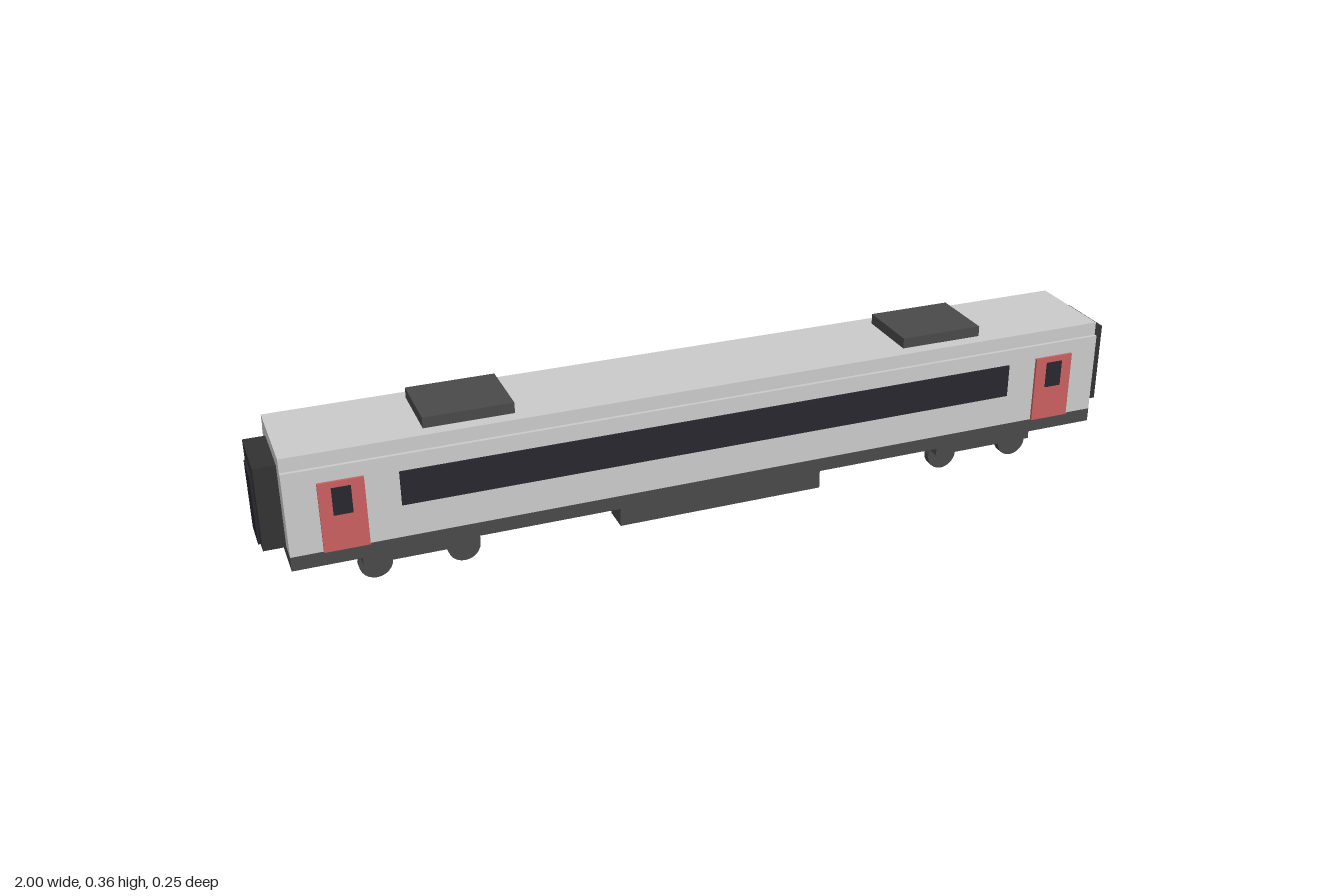
import * as THREE from 'three';

const mat = (color) => new THREE.MeshStandardMaterial({ color });

export function createModel() {
  const car = new THREE.Group();
  car.name = 'railwayCarriage';
  const shell = mat(0xcccccc), dark = mat(0x4a4a4a), rubber = mat(0x333333);
  const glass = mat(0x27272e), red = mat(0xca6060);

  const add = (name, geometry, material, x, y, z) => {
    const mesh = new THREE.Mesh(geometry, material);
    mesh.name = name;
    mesh.position.set(x, y, z);
    car.add(mesh);
    return mesh;
  };
  // Box given by its lower and upper limits on each axis
  const box = (name, material, [x0, x1], [y0, y1], [z0, z1]) =>
    add(name, new THREE.BoxGeometry(x1 - x0, y1 - y0, z1 - z0), material,
      (x0 + x1) / 2, (y0 + y1) / 2, (z0 + z1) / 2);
  // Limits from a to b, mirrored when s is -1
  const span = (s, a, b) => (s > 0 ? [a, b] : [-b, -a]);

  // Body shell
  box('body', shell, [-0.948, 0.948], [0.113, 0.302], [-0.118, 0.118]);
  box('roof', shell, [-0.948, 0.948], [0.302, 0.333], [-0.11, 0.11]);
  box('skirt', dark, [-0.948, 0.948], [0.081, 0.113], [-0.118, 0.118]);

  // Tank along the middle of the underfloor
  const tank = add('underfloorTank', new THREE.CylinderGeometry(0.0225, 0.0225, 0.79, 24), dark, 0, 0.057, 0);
  tank.rotation.z = Math.PI / 2;

  for (const side of [1, -1]) {
    // Long window band and equipment box on each side
    box('windowBand', glass, [-0.713, 0.713], [0.188, 0.265], span(side, 0.116, 0.122));
    box('equipmentBox', dark, [-0.24, 0.24], [0.034, 0.081], span(side, 0.049, 0.11));

    // Passenger doors with small windows
    for (const end of [1, -1]) {
      box('door', red, span(end, 0.785, 0.88), [0.113, 0.27], span(side, 0.116, 0.124));
      box('doorWindow', glass, span(end, 0.813, 0.853), [0.195, 0.257], span(side, 0.12, 0.126));
    }
  }

  for (const end of [1, -1]) {
    // Gangway at each end
    box('gangway', rubber, span(end, 0.94, 0.995), [0.113, 0.302], [-0.071, 0.071]);
    box('gangwayDoor', glass, span(end, 0.985, 1), [0.113, 0.27], [-0.039, 0.039]);

    // Roof air conditioning unit
    box('roofUnit', dark, span(end, 0.455, 0.65), [0.333, 0.357], [-0.079, 0.079]);

    // Bogie frame and its four wheels
    box('bogieFrame', dark, span(end, 0.55, 0.8), [0.05, 0.081], [-0.095, 0.095]);
    for (const x of [0.58, 0.77]) {
      for (const side of [1, -1]) {
        const wheel = add('wheel', new THREE.CylinderGeometry(0.036, 0.036, 0.019, 24), dark,
          end * x, 0.036, side * 0.06);
        wheel.rotation.x = Math.PI / 2;
      }
    }
  }
  return car;
}
